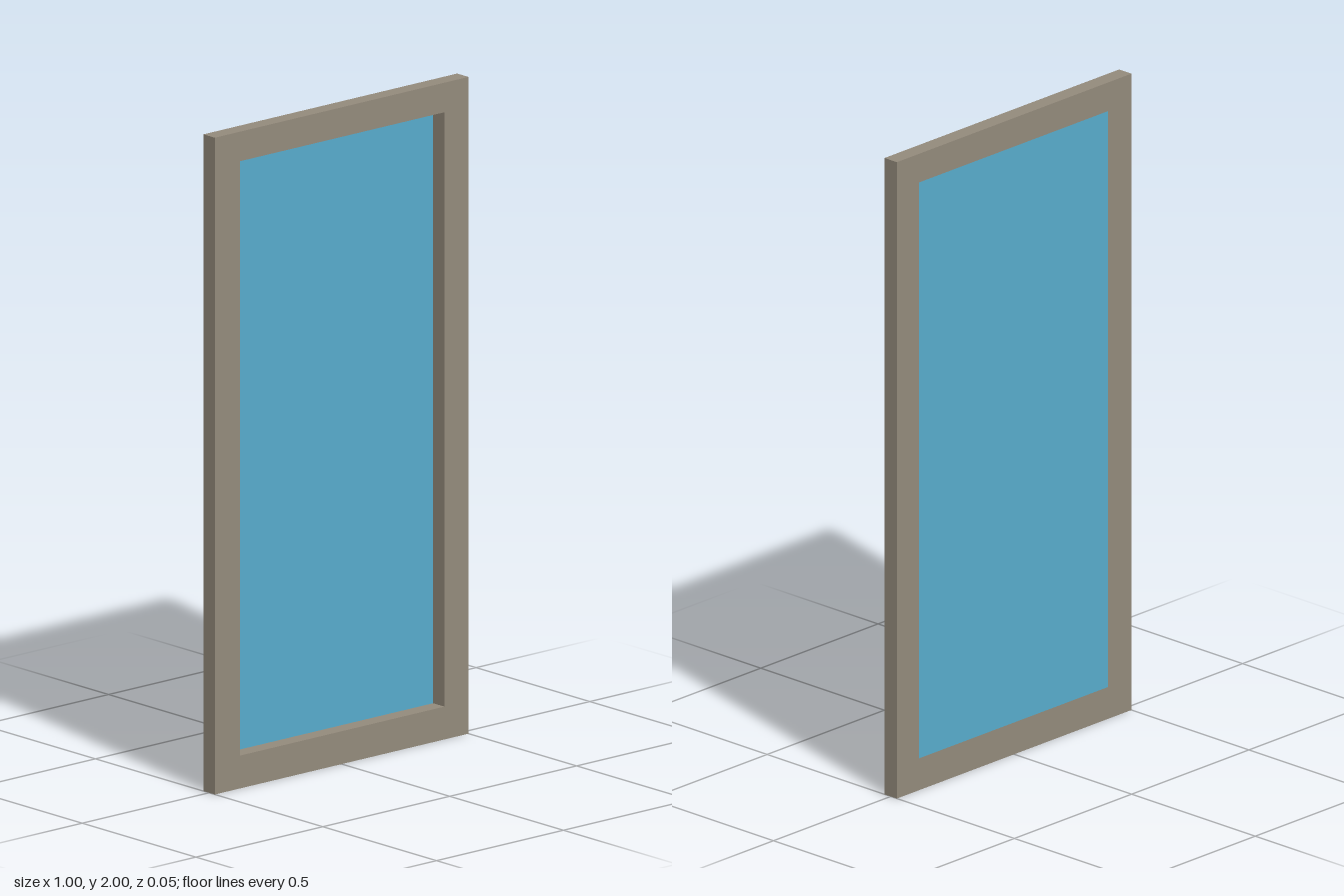
import * as THREE from 'three';

const WIDTH = 1, HEIGHT = 2, DEPTH = 0.05;
const OPENING = { left: -0.4, right: 0.405, bottom: 0.1, top: 1.91 };

// Traces a rectangle on a Shape or Path
function rectangle(path, left, right, bottom, top) {
  path.moveTo(left, bottom);
  path.lineTo(right, bottom);
  path.lineTo(right, top);
  path.lineTo(left, top);
  path.closePath();
  return path;
}

export function createModel() {
  const model = new THREE.Group();
  model.name = 'window';

  const frameMaterial = new THREE.MeshStandardMaterial({ color: 0x948b7c });
  frameMaterial.name = 'frame taupe';
  const glassMaterial = new THREE.MeshStandardMaterial({ color: 0x58accd, side: THREE.DoubleSide });
  glassMaterial.name = 'glass blue';

  // Frame: one slab with a rectangular opening
  const { left, right, bottom, top } = OPENING;
  const outline = rectangle(new THREE.Shape(), -WIDTH / 2, WIDTH / 2, 0, HEIGHT);
  outline.holes.push(rectangle(new THREE.Path(), left, right, bottom, top));
  const frameGeometry = new THREE.ExtrudeGeometry(outline, { depth: DEPTH, bevelEnabled: false });
  frameGeometry.translate(0, 0, -DEPTH / 2);
  const frame = new THREE.Mesh(frameGeometry, frameMaterial);
  frame.name = 'frame';

  // Glass: a single pane flush with the back of the frame
  const glass = new THREE.Mesh(new THREE.PlaneGeometry(right - left, top - bottom), glassMaterial);
  glass.name = 'glassPane';
  glass.position.set((left + right) / 2, (bottom + top) / 2, -DEPTH / 2);

  model.add(frame, glass);
  return model;
}
